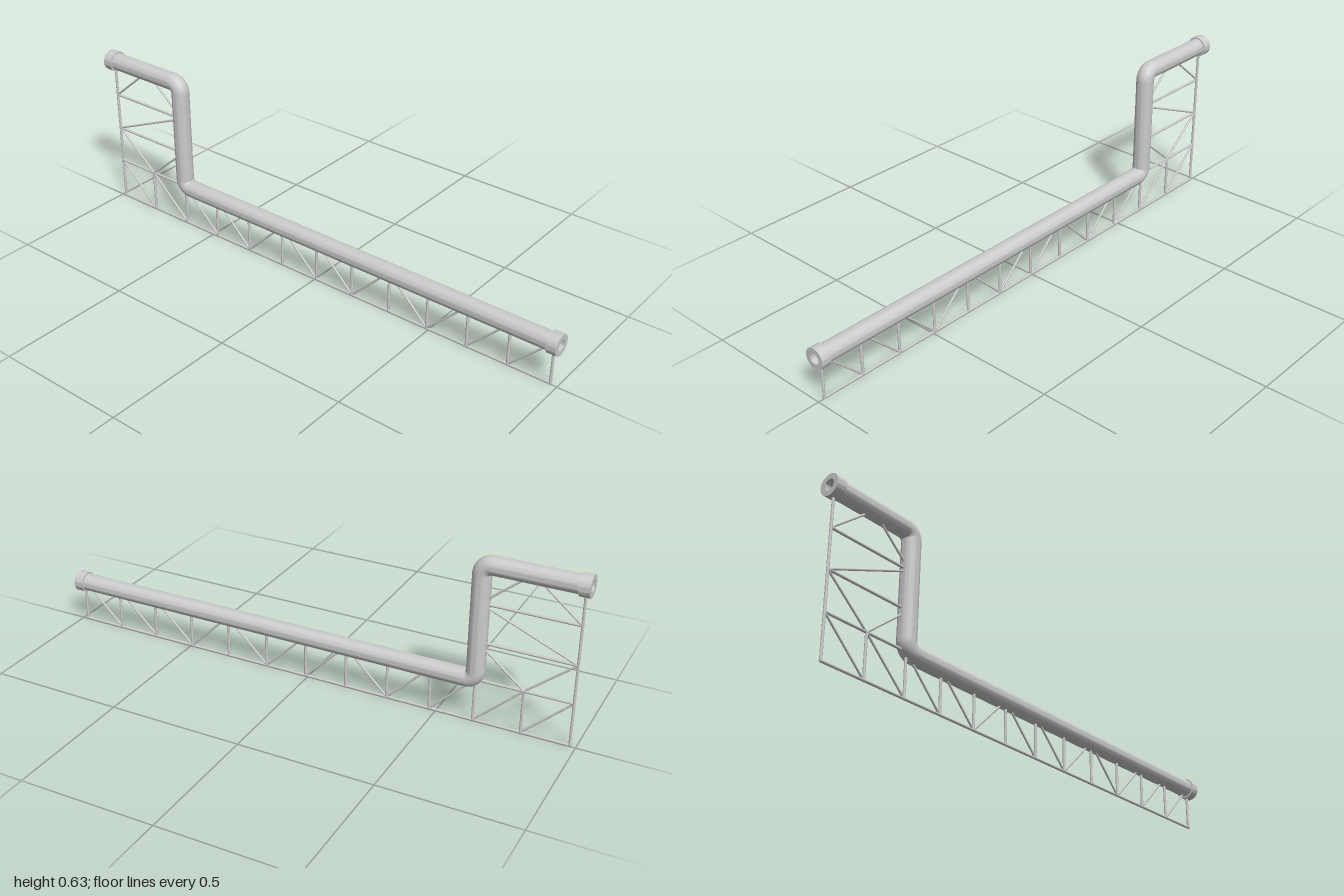
import * as THREE from 'three';
import { toCreasedNormals } from 'three/addons/utils/BufferGeometryUtils.js';

const PIPE_R = 0.033, BORE_R = 0.02, BEND = 0.035;
const LOW_Y = 0.165, HIGH_Y = 0.595, RISER_X = -0.637, LEFT_X = -0.98, BASE_Y = 0.005;
const UP = new THREE.Vector3(0, 1, 0);

export function createModel() {
  const model = new THREE.Group();
  const grey = new THREE.MeshStandardMaterial({ color: 0xcccccc });
  const inside = new THREE.MeshStandardMaterial({ color: 0xcccccc, side: THREE.BackSide });

  // Places a geometry whose axis starts at the origin along +y between two points
  function place(name, geometry, a, b) {
    const mesh = new THREE.Mesh(geometry, grey);
    const from = new THREE.Vector3(a[0], a[1], 0);
    const to = new THREE.Vector3(b[0], b[1], 0);
    mesh.position.copy(from);
    mesh.quaternion.setFromUnitVectors(UP, to.sub(from).normalize());
    mesh.name = name;
    model.add(mesh);
  }
  const span = (a, b) => Math.hypot(b[0] - a[0], b[1] - a[1]);

  // Hollow straight pipe
  function pipe(name, a, b, radius) {
    const h = span(a, b);
    const profile = [[BORE_R, 0], [radius, 0], [radius, h], [BORE_R, h], [BORE_R, 0]]
      .map(([x, y]) => new THREE.Vector2(x, y));
    place(name, toCreasedNormals(new THREE.LatheGeometry(profile, 40), 0.6), a, b);
  }

  // Thin round truss bar
  function bar(name, a, b, radius = 0.005) {
    const h = span(a, b);
    place(name, new THREE.CylinderGeometry(radius, radius, h, 12).translate(0, h / 2, 0), a, b);
  }

  // Quarter bend with outer wall and bore
  function elbow(name, x, y, turn) {
    const group = new THREE.Group();
    group.name = name;
    for (const [r, material] of [[PIPE_R, grey], [BORE_R, inside]]) {
      group.add(new THREE.Mesh(new THREE.TorusGeometry(BEND, r, 40, 16, Math.PI / 2), material));
    }
    group.position.set(x, y, 0);
    group.rotation.z = turn;
    model.add(group);
  }

  // Stepped pipe run
  pipe('upperPipe', [-0.998, HIGH_Y], [RISER_X - BEND, HIGH_Y], PIPE_R);
  elbow('upperElbow', RISER_X - BEND, HIGH_Y - BEND, 0);
  pipe('riserPipe', [RISER_X, LOW_Y + BEND], [RISER_X, HIGH_Y - BEND], PIPE_R);
  elbow('lowerElbow', RISER_X + BEND, LOW_Y + BEND, Math.PI);
  pipe('lowerPipe', [RISER_X + BEND, LOW_Y], [0.998, LOW_Y], PIPE_R);

  // End collars
  pipe('upperCollar', [-1, HIGH_Y], [-0.963, HIGH_Y], 0.039);
  pipe('lowerCollar', [0.963, LOW_Y], [1, LOW_Y], 0.039);

  // Truss under the long pipe: d falls to the right, u rises to the right
  const step = 0.1613, pattern = 'ddudduduuu';
  bar('bottomChord', [LEFT_X - 0.004, BASE_Y], [RISER_X + 10 * step + 0.004, BASE_Y]);
  [...pattern].forEach((way, i) => {
    const x0 = RISER_X + i * step, x1 = x0 + step;
    bar('trussPost', [x1, BASE_Y], [x1, LOW_Y]);
    const [y0, y1] = way === 'd' ? [LOW_Y, BASE_Y] : [BASE_Y, LOW_Y];
    bar('trussDiagonal', [x0, y0], [x1, y1], 0.004);
  });

  // Tower truss under the short pipe
  const midX = (LEFT_X + RISER_X) / 2;
  const y2 = 0.308, y3 = 0.452;
  bar('towerPost', [LEFT_X, BASE_Y], [LEFT_X, HIGH_Y]);
  bar('towerPost', [RISER_X, BASE_Y], [RISER_X, HIGH_Y]);
  bar('towerMiddlePost', [midX, BASE_Y], [midX, LOW_Y]);
  for (const y of [LOW_Y, y2, y3]) bar('towerRail', [LEFT_X, y], [RISER_X, y]);
  const braces = [
    [LEFT_X, LOW_Y, midX, BASE_Y], [midX, LOW_Y, RISER_X, BASE_Y],
    [LEFT_X, y2, midX, LOW_Y], [midX, LOW_Y, RISER_X, y2],
    [LEFT_X, y2, RISER_X, y3],
    [LEFT_X, y3, midX, HIGH_Y], [midX, HIGH_Y, RISER_X, y3],
  ];
  for (const [ax, ay, bx, by] of braces) bar('towerBrace', [ax, ay], [bx, by], 0.004);

  return model;
}
